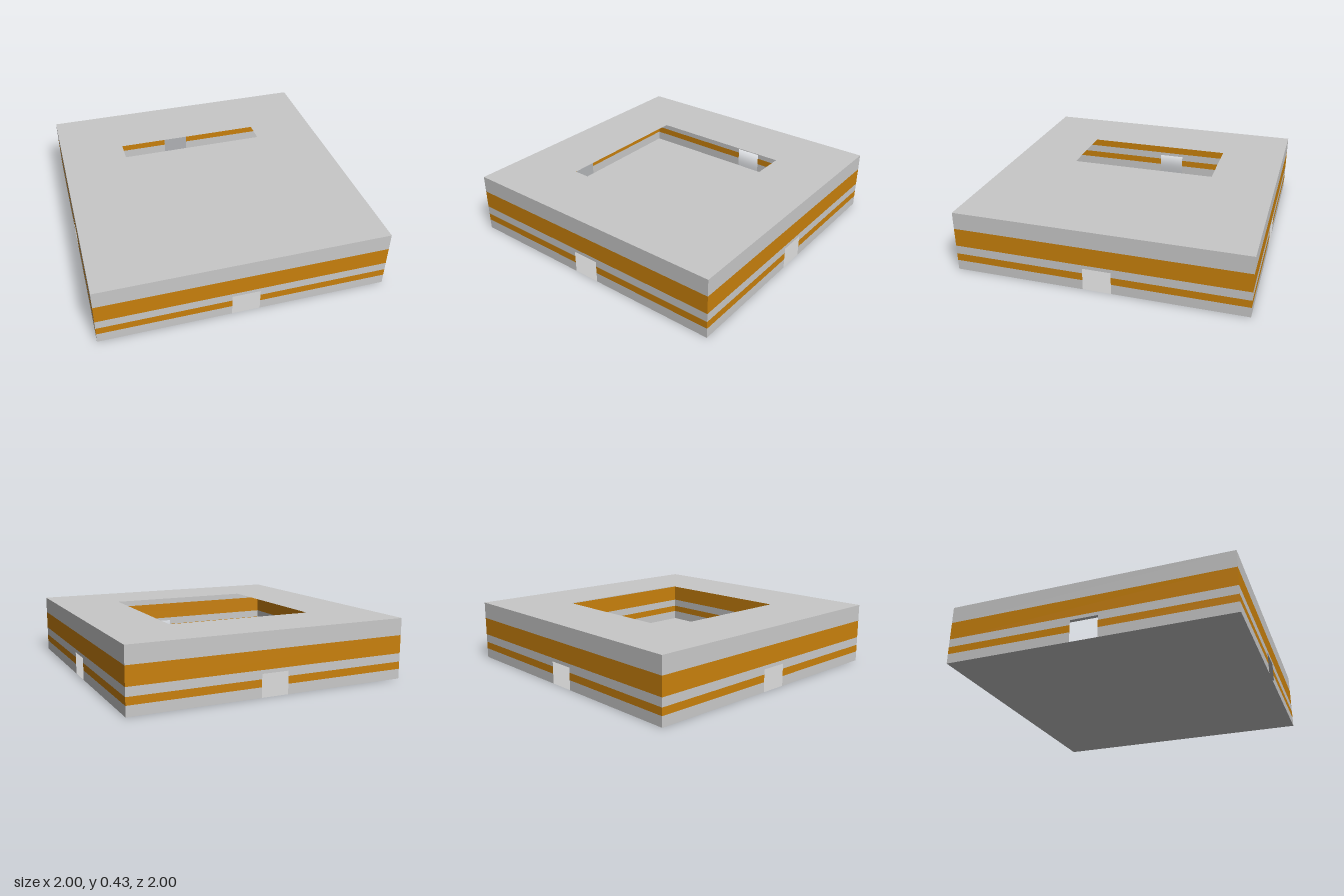
import * as THREE from 'three';

const H = 0.43, DOOR_W = 0.097, DOOR_H = 0.157, HOLE = 0.532;

function polygon(points) {
  return new THREE.Shape(points.map(([x, y]) => new THREE.Vector2(x, y)));
}

function rect(x0, y0, x1, y1) {
  return polygon([[x0, y0], [x1, y0], [x1, y1], [x0, y1]]);
}

// One horizontal band of a wall, cut by the doorway where it reaches it
function bandShapes(y0, y1) {
  if (y0 >= DOOR_H) return [rect(-1, y0, 1, y1)];
  if (y1 <= DOOR_H) return [rect(-1, y0, -DOOR_W, y1), rect(DOOR_W, y0, 1, y1)];
  return [polygon([
    [-1, y0], [-DOOR_W, y0], [-DOOR_W, DOOR_H], [DOOR_W, DOOR_H],
    [DOOR_W, y0], [1, y0], [1, y1], [-1, y1],
  ])];
}

export function createModel() {
  const grey = new THREE.MeshStandardMaterial({ color: 0xc8c8c8, side: THREE.DoubleSide });
  grey.name = 'light grey';
  const orange = new THREE.MeshStandardMaterial({ color: 0xc8800c, side: THREE.DoubleSide });
  orange.name = 'orange';

  const model = new THREE.Group();
  model.name = 'courtyardBuilding';

  // Four thin walls, each stacked from coloured bands
  const bands = [
    ['wallBase', 0, 0.07, grey],
    ['narrowStripe', 0.07, 0.122, orange],
    ['wallMiddle', 0.122, 0.182, grey],
    ['wideStripe', 0.182, 0.31, orange],
    ['wallTop', 0.31, H, grey],
  ].map(([name, y0, y1, material]) =>
    ({ name, material, geometry: new THREE.ShapeGeometry(bandShapes(y0, y1)) }));

  ['frontWall', 'leftWall', 'backWall', 'rightWall'].forEach((wallName, i) => {
    const wall = new THREE.Group();
    wall.name = wallName;
    for (const { name, material, geometry } of bands) {
      const mesh = new THREE.Mesh(geometry, material);
      mesh.name = name;
      mesh.position.z = 1;
      wall.add(mesh);
    }
    wall.rotation.y = i * Math.PI / 2;
    model.add(wall);
  });

  // Flat roof with a square opening
  const roofShape = rect(-1, -1, 1, 1);
  roofShape.holes.push(rect(-HOLE, -HOLE, HOLE, HOLE));
  const roof = new THREE.Mesh(new THREE.ShapeGeometry(roofShape), grey);
  roof.name = 'roof';
  roof.rotation.x = -Math.PI / 2;
  roof.position.y = H;
  model.add(roof);

  // Floor
  const floor = new THREE.Mesh(new THREE.PlaneGeometry(2, 2), grey);
  floor.name = 'floor';
  floor.rotation.x = -Math.PI / 2;
  model.add(floor);

  return model;
}
